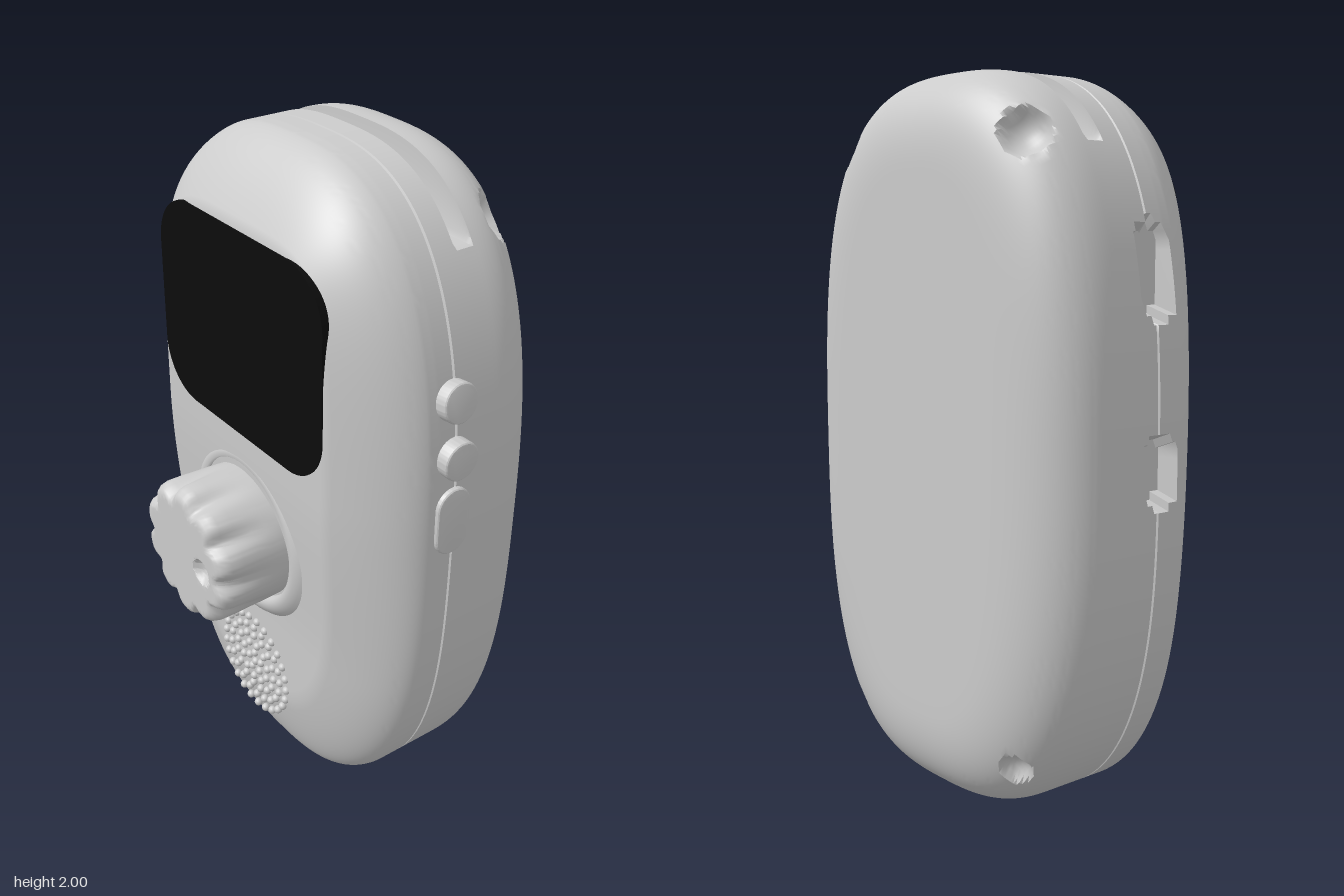
import * as THREE from 'three';
import { toCreasedNormals } from 'three/addons/utils/BufferGeometryUtils.js';

const CX = -0.015; // body and knob axis
const KNOB_Y = 0.86;
const grey = new THREE.MeshStandardMaterial({ color: 0xcccccc });
const greyTwoSided = new THREE.MeshStandardMaterial({ color: 0xcccccc, side: THREE.DoubleSide });
const black = new THREE.MeshStandardMaterial({ color: 0x0c0c0c });

function mesh(name, geometry, material = grey) {
  const m = new THREE.Mesh(geometry, material);
  m.name = name;
  return m;
}

// Skin over rings that run towards +z; pointAt(ring, angle) gives a Vector3.
function loft(rings, segments, pointAt, crease) {
  const positions = [], index = [];
  rings.forEach((ring, i) => {
    for (let j = 0; j < segments; j++) {
      positions.push(...pointAt(ring, (j / segments) * Math.PI * 2).toArray());
      if (i === rings.length - 1) continue;
      const a = i * segments + j, b = i * segments + ((j + 1) % segments);
      index.push(a, b, b + segments, a, b + segments, a + segments);
    }
  });
  const g = new THREE.BufferGeometry();
  g.setAttribute('position', new THREE.Float32BufferAttribute(positions, 3));
  g.setIndex(index);
  return toCreasedNormals(g, crease);
}

// Pushes a point inside a sphere along dir to the far side of that sphere.
function dent(p, centre, r, dir) {
  const rel = p.clone().sub(centre), q = rel.lengthSq();
  if (q >= r * r) return;
  const b = rel.dot(dir);
  p.addScaledVector(dir, -b + Math.sqrt(b * b - q + r * r));
}

const screwHoles = [];
for (const side of [-1, 1]) {
  screwHoles.push(
    { c: new THREE.Vector3(CX + side * 0.385, 1.83, -0.345), r: 0.075,
      d: new THREE.Vector3(-side * 0.45, -0.45, 0.77).normalize() },
    { c: new THREE.Vector3(CX + side * 0.36, 0.17, -0.36), r: 0.05,
      d: new THREE.Vector3(-side * 0.45, 0.45, 0.77).normalize() });
}

// Port recesses in the -x wall: capsule areas pressed in to a flat floor.
const ports = [{ y: 1.48, half: 0.12, floor: -0.52 }, { y: 0.97, half: 0.09, floor: -0.54 }];

function bodyPoint({ z, s }, angle) {
  const u = Math.max(0, (-0.2 - z) / 0.21), v = Math.max(0, z / 0.2);
  const back = 0.27 * (1 - Math.pow(Math.max(0, 1 - Math.pow(u, 2.5)), 0.4));
  const inset = back + 0.2 * Math.pow(v, 1.8);
  const top = 2 - inset, bottom = back + 0.28 * v ** 3;
  const c = Math.cos(angle), sn = Math.sin(angle);
  const n = sn > 0 ? 2.8 + 2 * v * v : 2.8;
  const r = s / Math.pow(Math.abs(c) ** n + Math.abs(sn) ** n, 1 / n);
  const seam = Math.abs(z + 0.07) < 0.001 ? 0.008 : 0;
  const p = new THREE.Vector3(
    CX + (0.585 - inset - seam) * r * c,
    (top + bottom) / 2 + ((top - bottom) / 2 - seam) * r * sn, z);
  // front face steps back below the screen
  p.z -= 0.03 * Math.min(1, v) * (1 - THREE.MathUtils.smoothstep(p.y, 0.55, 1.15));
  // slot across the top
  if (z < -0.1401 && z > -0.1999) {
    p.y = Math.min(p.y, Math.abs(z + 0.17) > 0.025 ? 1.815 : 1.8);
  }
  for (const port of ports) {
    const dy = Math.max(0, Math.abs(p.y - port.y) - port.half + 0.06);
    if (p.x < 0 && Math.hypot(dy, p.z + 0.06) < 0.06) p.x = Math.max(p.x, port.floor);
  }
  for (const h of screwHoles) dent(p, h.c, h.r, h.d);
  return p;
}

function makeBody() {
  const rings = [];
  const add = (z, s = 1) => rings.push({ z, s });
  for (let i = 0; i < 24; i++) add(-0.41, i / 24); // back face
  for (let i = 0; i < 36; i++) add(-0.2 - 0.21 * Math.cos((i / 36) * Math.PI / 2)); // rounded back edge
  [-0.2, -0.1995, -0.193, -0.17, -0.147, -0.1405, -0.14].forEach(z => add(z));
  for (let z = -0.13; z < -0.075; z += 0.008) add(z);
  [-0.074, -0.07, -0.066].forEach(z => add(z));
  for (let i = 0; i <= 26; i++) add(-0.06 + 0.01 * i); // sides and front slope
  for (let i = 19; i >= 0; i--) add(0.2, i / 20); // front face
  return mesh('body', loft(rings, 280, bodyPoint, 0.6));
}

// Knob with ten flutes that deepen towards its face, and a finger dimple
function makeKnob() {
  const rings = [[0.16, 0.205, 0], [0.2, 0.207, 0], [0.24, 0.209, 0.003], [0.28, 0.21, 0.008], [0.33, 0.212, 0.017],
    [0.37, 0.212, 0.026], [0.39, 0.207, 0.031], [0.403, 0.197, 0.032], [0.409, 0.185, 0.03]];
  for (let i = 18; i >= 0; i--) rings.push([0.41, 0.175 * i / 18, 0.028 * (i / 18) ** 4]);
  const dimple = new THREE.Vector3(0.1, 0, 0.425), inward = new THREE.Vector3(0, 0, -1);
  const g = loft(rings, 160, ([z, r, depth], a) => {
    const rr = r - depth * Math.pow(0.5 + 0.5 * Math.cos(10 * a), 2);
    const p = new THREE.Vector3(rr * Math.cos(a), rr * Math.sin(a), z);
    if (z > 0.405) dent(p, dimple, 0.042, inward);
    return p;
  }, 0.7);
  const knob = mesh('knob', g);
  knob.position.set(CX, KNOB_Y, 0);
  return knob;
}

// Rounded rectangle centred on the origin
function roundedRect(w, h, r) {
  const x = w / 2 - r, y = h / 2 - r, s = new THREE.Shape();
  s.absarc(x, y, r, 0, Math.PI / 2);
  s.absarc(-x, y, r, Math.PI / 2, Math.PI);
  s.absarc(-x, -y, r, Math.PI, Math.PI * 1.5);
  s.absarc(x, -y, r, Math.PI * 1.5, Math.PI * 2);
  return s;
}

// Side button: pill outline pushed out along +x
function makeButton(name, y, length, tip, tilt) {
  const depth = 0.1, bevel = 0.008;
  const g = new THREE.ExtrudeGeometry(roundedRect(0.11 - 2 * bevel, length - 2 * bevel, 0.0469), {
    depth: depth - bevel, bevelSize: bevel, bevelThickness: bevel, bevelSegments: 3, curveSegments: 12 });
  g.translate(0, 0, -depth);
  g.rotateY(Math.PI / 2);
  const b = mesh(name, toCreasedNormals(g, 0.5));
  b.position.set(tip, y, -0.062);
  b.rotation.z = tilt;
  return b;
}

export function createModel() {
  const model = new THREE.Group();
  model.name = 'handheldDevice';
  model.add(makeBody(), makeKnob());

  // screen
  const screen = mesh('screen', new THREE.ExtrudeGeometry(roundedRect(0.755, 0.6, 0.15),
    { depth: 0.03, bevelEnabled: false, curveSegments: 12 }), black);
  screen.position.set(CX, 1.488, 0.174);
  model.add(screen);

  // raised collar round the knob
  const profile = [[0.285, 0.165], [0.265, 0.187], [0.245, 0.199], [0.228, 0.2], [0.218, 0.194], [0.213, 0.175]];
  const collar = mesh('knobCollar',
    new THREE.LatheGeometry(profile.map(([r, z]) => new THREE.Vector2(r, z)), 64), greyTwoSided);
  collar.rotation.x = Math.PI / 2;
  collar.position.set(CX, KNOB_Y, 0);
  model.add(collar);

  // speaker grille of small studs in concentric rings
  const grille = new THREE.Group();
  grille.name = 'speakerGrille';
  const stud = new THREE.SphereGeometry(0.013, 12, 8);
  for (let ring = 0; ring <= 5; ring++) {
    const count = ring ? ring * 5 : 1;
    for (let i = 0; i < count; i++) {
      const a = (i / count) * Math.PI * 2 + ring * 0.4, r = ring * 0.033;
      const s = mesh('grilleStud', stud);
      s.position.set(CX + r * Math.cos(a), 0.345 + r * Math.sin(a), 0.17);
      grille.add(s);
    }
  }
  model.add(grille);

  // controls on the left side
  model.add(
    makeButton('upperButton', 1.47, 0.11, 0.58, 0.12),
    makeButton('lowerButton', 1.31, 0.11, 0.598, 0),
    makeButton('sliderButton', 1.12, 0.2, 0.582, 0));
  return model;
}
